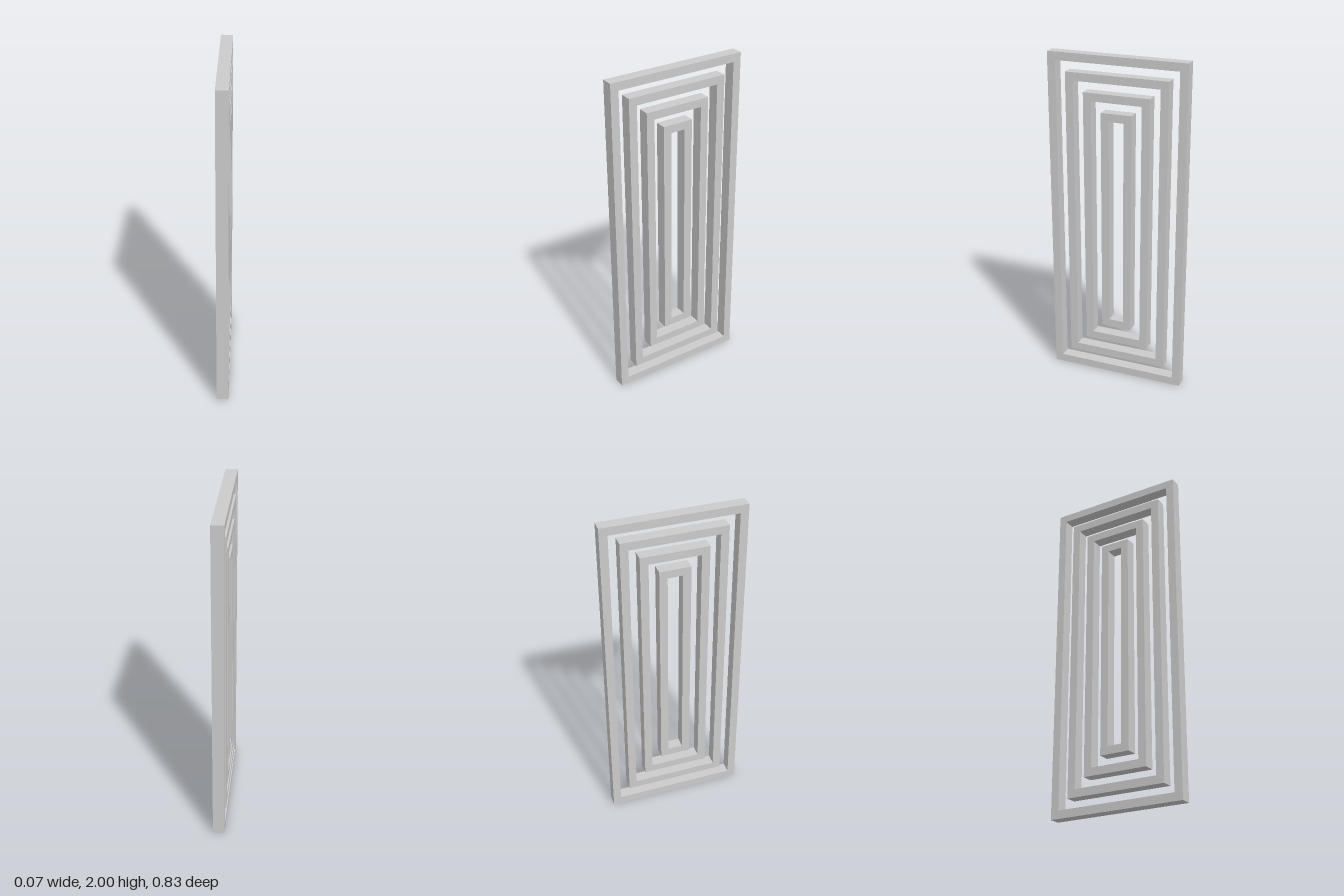
import * as THREE from 'three';

const DEPTH = 0.07;  // thickness along x
const BAR = 0.048;   // width of each frame's bars
const STEP = 0.1075; // inset from one frame to the next

// Traces a rectangle centred on (0, 1) into a Shape or Path
function rectangle(path, halfWidth, halfHeight) {
  path.moveTo(-halfWidth, 1 - halfHeight);
  path.lineTo(halfWidth, 1 - halfHeight);
  path.lineTo(halfWidth, 1 + halfHeight);
  path.lineTo(-halfWidth, 1 + halfHeight);
  path.closePath();
  return path;
}

export function createModel() {
  const group = new THREE.Group();
  group.name = 'nestedFrames';
  const material = new THREE.MeshStandardMaterial({ color: 0xcccccc, flatShading: true });

  // Four concentric upright frames, from the outermost inwards
  for (let i = 0; i < 4; i++) {
    const halfWidth = 0.415 - i * STEP;
    const halfHeight = 1 - i * STEP;
    const shape = rectangle(new THREE.Shape(), halfWidth, halfHeight);
    shape.holes.push(rectangle(new THREE.Path(), halfWidth - BAR, halfHeight - BAR));

    const geometry = new THREE.ExtrudeGeometry(shape, { depth: DEPTH, bevelEnabled: false });
    geometry.translate(0, 0, -DEPTH / 2);
    geometry.rotateY(Math.PI / 2);

    const frame = new THREE.Mesh(geometry, material);
    frame.name = `frame${i + 1}`;
    group.add(frame);
  }
  return group;
}
